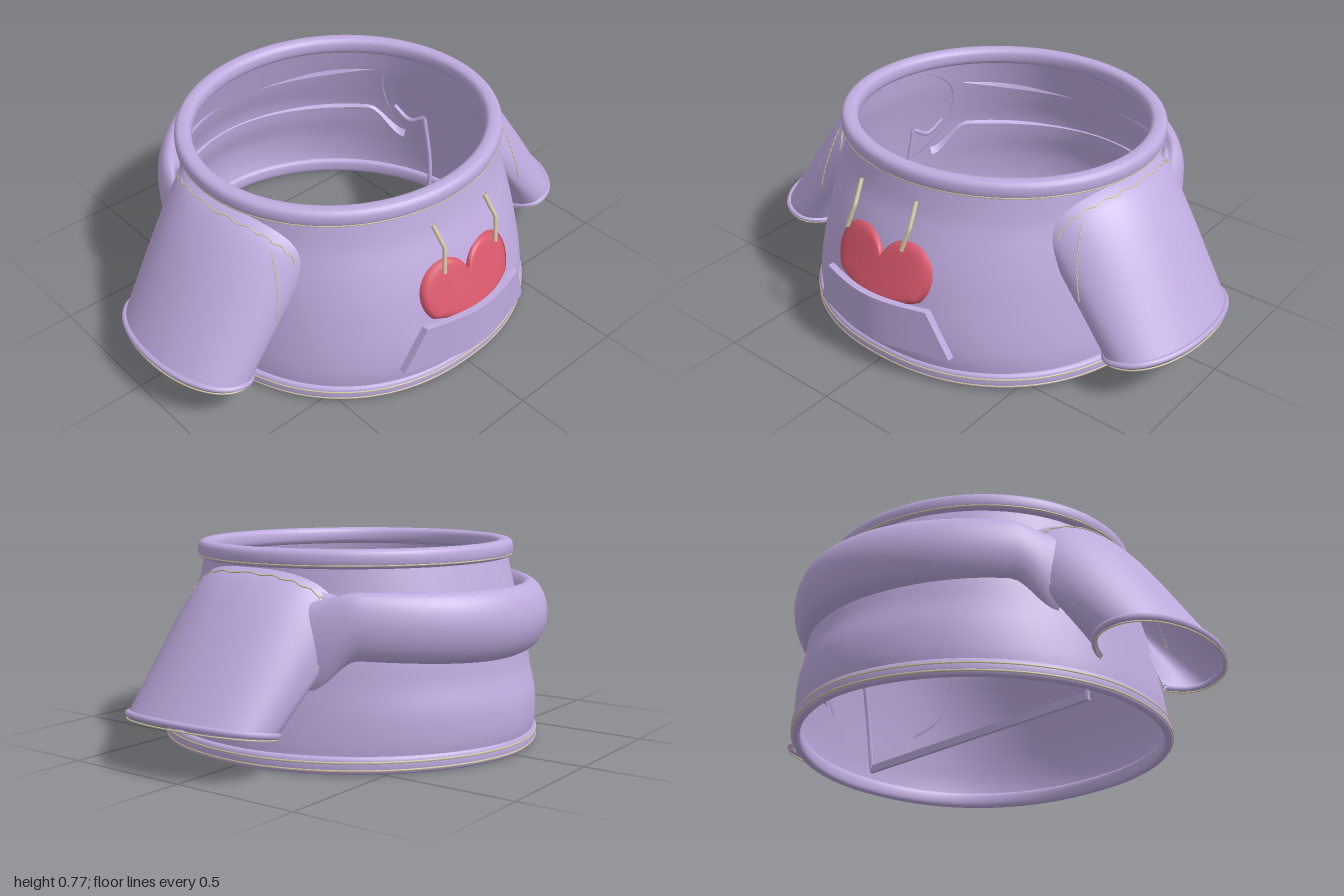
import * as THREE from 'three';

const mat = (name, color, side = THREE.DoubleSide) => {
  const m = new THREE.MeshStandardMaterial({ color, side });
  m.name = name;
  return m;
};

// Grid surface from fn(u, v); wrapV joins the ring, wrapU joins the section
function surface(nu, nv, fn, wrapU = false, wrapV = true) {
  const pos = [], idx = [];
  const ru = wrapU ? nu : nu + 1, rv = wrapV ? nv : nv + 1;
  for (let i = 0; i < ru; i++) for (let j = 0; j < rv; j++) pos.push(...fn(i / nu, j / nv));
  for (let i = 0; i < nu; i++) for (let j = 0; j < nv; j++) {
    const i2 = (i + 1) % ru, j2 = (j + 1) % rv;
    const a = i * rv + j, b = i * rv + j2, c = i2 * rv + j2, d = i2 * rv + j;
    idx.push(a, b, c, a, c, d);
  }
  const g = new THREE.BufferGeometry();
  g.setAttribute('position', new THREE.Float32BufferAttribute(pos, 3));
  g.setIndex(idx);
  g.computeVertexNormals();
  return g;
}

// Body profile: height, half width, front depth, back depth
const BODY = [
  [0.03, 0.7, 0.71, 0.72], [0.1, 0.697, 0.72, 0.735], [0.2, 0.685, 0.715, 0.732], [0.3, 0.672, 0.695, 0.705],
  [0.4, 0.657, 0.67, 0.69], [0.5, 0.64, 0.635, 0.655], [0.6, 0.62, 0.595, 0.625], [0.73, 0.605, 0.565, 0.585],
];
const bodyCurves = [1, 2, 3].map(k =>
  new THREE.CatmullRomCurve3(BODY.map(r => new THREE.Vector3(r[k], r[0], 0))));
function bodyAt(y) {
  let i = 0;
  while (i < BODY.length - 2 && y > BODY[i + 1][0]) i++;
  const t = THREE.MathUtils.clamp((y - BODY[i][0]) / (BODY[i + 1][0] - BODY[i][0]), 0, 1);
  return bodyCurves.map(c => c.getPoint((i + t) / (BODY.length - 1)).x);
}
// The ring is fuller in front and leaner behind towards the waist
const fullness = (y, front) => 2 + (front ? 0.22 : -0.13) * THREE.MathUtils.clamp((0.73 - y) / 0.6, 0, 1);
function bodyX(y, z) {
  const [rx, zf, zb] = bodyAt(y), n = fullness(y, z > 0);
  return rx * Math.max(0, 1 - (Math.abs(z) / (z > 0 ? zf : zb)) ** n) ** (1 / n);
}
const sp = (v, n) => Math.sign(v) * Math.abs(v) ** (2 / n);

// Point on a sleeve: u runs from armhole to cuff, v around
function sleevePoint(s, u, v, grow = 0) {
  const a = v * Math.PI * 2, c = Math.cos(a), d = Math.sin(a);
  const y0 = 0.49 + 0.208 * sp(c, 2.7), z0 = 0.02 + 0.35 * sp(d, 2.7);
  const x0 = bodyX(y0, z0) - 0.006;
  const x1 = 0.81 + (c > 0 ? 0.18 : 0.14) * sp(c, 2.1), y1 = 0.16 + 0.03 * sp(c, 2.1);
  const z1 = 0.065 + 0.318 * sp(d, 2.1);
  const bump = 0.035 * Math.sin(Math.PI * Math.sqrt(u)) * Math.max(0, c);
  const y = y0 + (y1 - y0) * u + bump * 0.5 + grow * c, z = z0 + (z1 - z0) * u + grow * d;
  const x = Math.max(x0 + (x1 - x0) * u + bump + grow * c, bodyX(y, z) - 0.003);
  return [s * x, y, z];
}

const tube = (pts, r, n = 48) => new THREE.TubeGeometry(
  new THREE.CatmullRomCurve3(pts.map(p => new THREE.Vector3(...p))), n, r, 6);

// Rounded band around the body; section centre and half sizes, front and back depth
const band = (rx, zf, zb, y, w, h) => surface(20, 96, (u, v) => {
  const t = u * Math.PI * 2, a = v * Math.PI * 2, ca = Math.cos(a), n = fullness(y, ca > 0);
  const o = w * sp(Math.cos(t), 2.6);
  return [(rx + o) * sp(Math.sin(a), n), y + h * sp(Math.sin(t), 2.6), ((ca > 0 ? zf : zb) + o) * sp(ca, n)];
}, true);

export function createModel() {
  const group = new THREE.Group();
  group.name = 'hoodedTop';
  const fabric = mat('lavender fabric', 0xbfabdf);
  const trim = mat('cream trim', 0xd0c5a2);
  const red = mat('heart red', 0xd9586c);
  const add = (name, geo, m, parent = group) => {
    const mesh = new THREE.Mesh(geo, m);
    mesh.name = name;
    parent.add(mesh);
  };

  // Torso shell, open at neck and waist
  add('torso', surface(28, 96, (u, v) => {
    const y = 0.03 + 0.7 * u, a = v * Math.PI * 2, c = Math.cos(a), n = fullness(y, c > 0);
    const [rx, zf, zb] = bodyAt(y);
    return [rx * sp(Math.sin(a), n), y, (c > 0 ? zf : zb) * sp(c, n)];
  }), fabric);

  // Neck ring and waist hem with stitching
  add('collar', band(0.603, 0.558, 0.578, 0.735, 0.033, 0.035), fabric);
  add('collarStitch', band(0.631, 0.586, 0.606, 0.713, 0.003, 0.003), trim);
  add('waistHem', band(0.7, 0.708, 0.718, 0.034, 0.018, 0.032), fabric);
  for (const y of [0.018, 0.046]) add('hemStitch', band(0.715, 0.723, 0.733, y, 0.0045, 0.004), trim);

  // Hood folded down as a roll around the back, its ends drooping behind the sleeves
  const roll = new THREE.CatmullRomCurve3([
    [0.645, 0.535], [0.662, 0.585], [0.692, 0.62], [0.73, 0.61], [0.762, 0.57], [0.778, 0.505],
    [0.768, 0.44], [0.735, 0.385], [0.69, 0.36],
  ].map(p => new THREE.Vector3(p[0], p[1], 0)));
  add('foldedHood', surface(24, 64, (u, v) => {
    const t = v * 2 - 1, a = t * 1.18, p = roll.getPoint(u);
    const r = (0.64 + (p.x - 0.64) * (1 - 0.45 * t * t)) * (1 - 0.045 * Math.sin(2 * a) ** 2);
    const droop = 0.14 * THREE.MathUtils.smoothstep(Math.abs(t), 0.78, 1);
    const lift = 0.1 * t * t * Math.max(0, 1 - 5 * u);
    return [r * Math.sin(a), p.y + lift + (0.04 * t * t - droop) * u, -r * Math.cos(a)];
  }, false, false), fabric);

  // Flared sleeves, open towards the body underneath, with rolled cuffs and seam stitching
  for (const s of [1, -1]) {
    const arm = new THREE.Group();
    arm.name = s > 0 ? 'leftSleeve' : 'rightSleeve';
    group.add(arm);
    add('sleeve', surface(20, 64, (u, v) => sleevePoint(s, u, s * (v - 0.5) * 0.8), false, false), fabric, arm);
    const ring = (u, drop) => Array.from({ length: 48 }, (_, i) => {
      const [x, y, z] = sleevePoint(s, u, (i / 47 - 0.5) * 0.8);
      return [x, y - drop, z];
    });
    add('cuff', tube(ring(0.985, 0), 0.012, 96), fabric, arm);
    add('cuffStitch', tube(ring(1, 0.011), 0.003, 96), trim, arm);
    const seam = (v0, v1, u0, u1) => Array.from({ length: 22 }, (_, i) => {
      const t = i / 21;
      return sleevePoint(s, u0 + (u1 - u0) * t + 0.012 * (i % 2), v0 + (v1 - v0) * t, 0.001);
    });
    add('shoulderSeam', tube(seam(-0.2, 0.2, 0.05, 0.05), 0.003, 90), trim, arm);
    add('frontSeam', tube(seam(0.13, 0.25, 0.1, 0.4), 0.0025, 60), trim, arm);
    add('backSeam', tube(seam(-0.15, -0.26, 0.06, 0.3), 0.0025, 60), trim, arm);

    // Loose folds inside the armhole
    add('innerFold', tube([[s * 0.565, 0.05, -0.04], [s * 0.575, 0.25, -0.06], [s * 0.57, 0.45, -0.1]], 0.01), fabric, arm);
    add('innerFold', tube([[s * 0.57, 0.45, -0.1], [s * 0.545, 0.42, -0.16], [s * 0.53, 0.46, -0.24]], 0.01), fabric, arm);
  }

  // Thin strap across the inside
  add('innerStrap', new THREE.BoxGeometry(1.14, 0.03, 0.015).translate(0, 0.05, -0.038), fabric);

  // Front pouch pocket, tapered upwards and curved around the belly
  const pocket = new THREE.BoxGeometry(0.64, 0.185, 0.026, 24, 4, 1);
  const pp = pocket.attributes.position;
  for (let i = 0; i < pp.count; i++) {
    const t = pp.getY(i) / 0.185 + 0.5, x = pp.getX(i) * (1 - 0.25 * t);
    pp.setXYZ(i, x, 0.135 + 0.185 * t, 0.819 - 0.37 * Math.hypot(x, 0.15) + pp.getZ(i));
  }
  pocket.computeVertexNormals();
  add('pouchPocket', pocket, fabric);

  // Padded heart peeking out of the pocket, leaning with the chest
  const outline = new THREE.Shape();
  outline.moveTo(0, 0.438);
  outline.absarc(0.108, 0.405, 0.115, Math.PI - 0.296, -0.75, true);
  outline.lineTo(0, 0.27);
  outline.absarc(-0.108, 0.405, 0.115, Math.PI + 0.75, 0.296, true);
  const rim = outline.getSpacedPoints(96);
  add('heart', surface(20, 96, (u, v) => {
    const k = 1 - Math.abs(1 - 2 * u), p = rim[Math.round(v * 96)];
    const x = p.x * k, y = 0.395 + (p.y - 0.395) * k;
    const puff = (u < 0.5 ? 0.013 : -0.01) * Math.sqrt(1 - k ** 8);
    return [x, y, 0.69 - (y - 0.42) * 0.38 - 0.55 * x * x + puff];
  }), red);

  // Drawstrings
  for (const x of [-0.137, 0.125]) {
    const pts = [[x, 0.68, 0.625], [x + 0.013, 0.6, 0.678], [x - 0.008, 0.515, 0.703]].map(p => new THREE.Vector3(...p));
    const path = new THREE.CurvePath();
    path.add(new THREE.LineCurve3(pts[0], pts[1]));
    path.add(new THREE.LineCurve3(pts[1], pts[2]));
    add('drawstring', new THREE.TubeGeometry(path, 12, 0.008, 8), trim);
  }
  return group;
}
